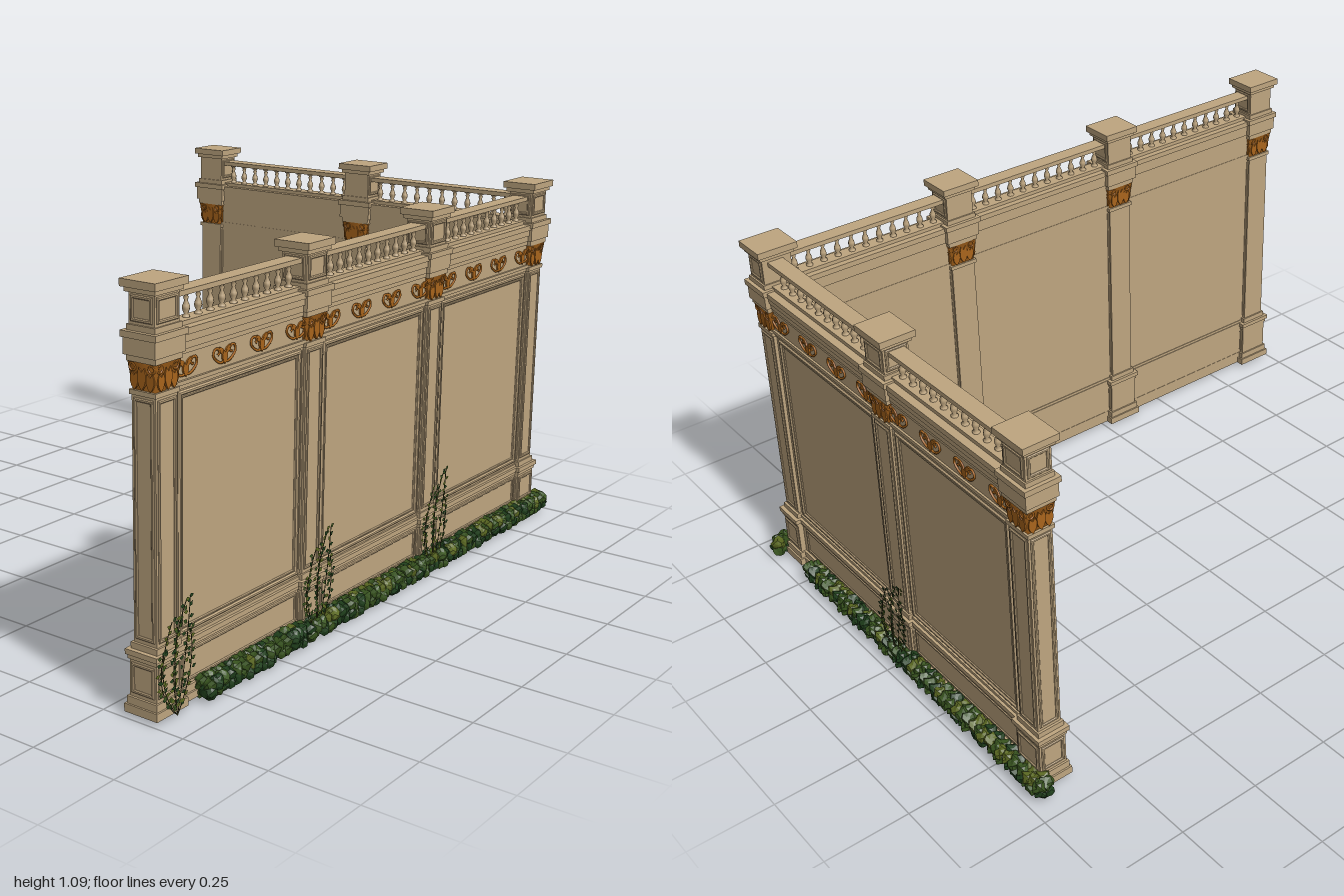
import * as THREE from 'three';
import { mergeGeometries } from 'three/addons/utils/BufferGeometryUtils.js';

const mat = (name, color, extra = {}) => {
  const m = new THREE.MeshStandardMaterial({ color, ...extra });
  m.name = name;
  return m;
};
const stone = mat('sandstone', 0xbfa680);
const bronze = mat('amber ornament', 0xa9651c);
const leafMats = [
  mat('dark leaf', 0x20401c, { flatShading: true, side: THREE.DoubleSide }),
  mat('mid leaf', 0x39551f, { flatShading: true, side: THREE.DoubleSide }),
  mat('olive leaf', 0x5c6a22, { flatShading: true, side: THREE.DoubleSide }),
];
const stemMat = mat('stem', 0x3b3a1c);

let seed = 7;
const rnd = () => (seed = (seed * 16807) % 2147483647) / 2147483647;

function add(parent, name, geo, material, x = 0, y = 0, z = 0) {
  const m = new THREE.Mesh(geo, material);
  m.name = name;
  m.position.set(x, y, z);
  parent.add(m);
  return m;
}

// Box given by its extents in y and z, centred on x
const slab = (p, name, x, w, y0, y1, z0, z1, m = stone) =>
  add(p, name, new THREE.BoxGeometry(w, y1 - y0, z1 - z0), m, x, (y0 + y1) / 2, (z0 + z1) / 2);

// Bevelled rectangular moulding with an open centre, facing +z
function frameGeo(w, h, t, d) {
  const s = new THREE.Shape().moveTo(-w / 2, -h / 2).lineTo(w / 2, -h / 2).lineTo(w / 2, h / 2).lineTo(-w / 2, h / 2).closePath();
  const a = w / 2 - t, b = h / 2 - t;
  s.holes.push(new THREE.Path().moveTo(-a, -b).lineTo(-a, b).lineTo(a, b).lineTo(a, -b).closePath());
  const e = Math.min(t * 0.3, d * 0.6);
  return new THREE.ExtrudeGeometry(s, { depth: d - e, bevelEnabled: true, bevelSize: e, bevelThickness: e, bevelOffset: -e, bevelSegments: 1 });
}

// Pointed acanthus leaf, tip down
function leafGeo(w, h, d) {
  const s = new THREE.Shape().moveTo(0, -h / 2);
  s.quadraticCurveTo(w * 0.75, -h * 0.1, w * 0.3, h / 2);
  s.lineTo(0, h * 0.3).lineTo(-w * 0.3, h / 2);
  s.quadraticCurveTo(-w * 0.75, -h * 0.1, 0, -h / 2);
  return new THREE.ExtrudeGeometry(s, { depth: d, bevelEnabled: false, curveSegments: 4 });
}

// Scroll tube: stalk from the centre, curling into a spiral
function scrollGeo(side, size, r) {
  const pts = [[0, -0.35], [0.3, -0.42], [0.7, -0.25], [0.98, 0.08], [0.85, 0.4], [0.55, 0.38], [0.45, 0.12], [0.65, 0.05]]
    .map(([x, y]) => new THREE.Vector3(side * x * size, y * size, 0));
  return new THREE.TubeGeometry(new THREE.CatmullRomCurve3(pts), 18, r, 5);
}
const scrollParts = [1, -1].flatMap((s) => [
  scrollGeo(s, 0.045, 0.0035),
  leafGeo(0.014, 0.026, 0.004).rotateZ(s * 2.3).translate(s * 0.014, 0.012, -0.002).toNonIndexed?.() ?? null,
]);
const friezeGeo = mergeGeometries([...scrollParts, leafGeo(0.022, 0.036, 0.005).translate(0, -0.006, -0.002)]
  .map((g) => (g.index ? g.toNonIndexed() : g)));

const balusterGeo = new THREE.LatheGeometry(
  [[0.010, 0], [0.010, 0.006], [0.005, 0.010], [0.010, 0.022], [0.009, 0.030], [0.004, 0.042], [0.007, 0.050], [0.004, 0.054], [0.010, 0.058], [0.010, 0.064]]
    .map(([x, y]) => new THREE.Vector2(x, y)), 8);

// Pier: stacked slabs, framed faces and a carved capital
function pier(x) {
  const g = new THREE.Group();
  g.name = 'pier';
  g.position.x = x;
  const rows = [
    ['plinth', 0.008, 0.03, 0.122, 0.104], ['plinthStep', 0.03, 0.05, 0.112, 0.094],
    ['pedestal', 0.05, 0.148, 0.1, 0.084], ['pedestalMoulding', 0.148, 0.16, 0.108, 0.09],
    ['pedestalCap', 0.16, 0.174, 0.118, 0.1], ['shaftBase', 0.174, 0.19, 0.094, 0.082],
    ['shaft', 0.19, 0.815, 0.08, 0.072], ['neckRing', 0.812, 0.824, 0.09, 0.08],
    ['entablatureBase', 0.893, 0.908, 0.1, 0.088], ['entablature', 0.908, 0.95, 0.112, 0.097],
    ['entablatureCap', 0.95, 0.966, 0.122, 0.107], ['postBase', 0.966, 0.98, 0.1, 0.086],
    ['post', 0.98, 1.06, 0.09, 0.077], ['postNeck', 1.056, 1.068, 0.106, 0.092], ['postCap', 1.068, 1.087, 0.122, 0.107],
  ];
  for (const [n, y0, y1, w, d] of rows) slab(g, n, 0, w, y0, y1, -d / 2, d / 2);
  // Raised frames on the front and both ends
  for (const [y0, y1, w, d] of [[0.2, 0.805, 0.08, 0.072], [0.06, 0.14, 0.1, 0.084], [0.987, 1.05, 0.09, 0.077]]) {
    for (const a of [0, 1, -1]) {
      const width = (a ? d : w) - 0.012;
      const f = add(g, 'pierFrame', frameGeo(width, y1 - y0, 0.009, 0.004), stone,
        a * w / 2, (y0 + y1) / 2, a ? 0 : d / 2);
      f.rotation.y = a * Math.PI / 2;
    }
  }
  // Flared capital
  const core = new THREE.CylinderGeometry(0.0665, 0.054, 0.071, 4).rotateY(Math.PI / 4).scale(1, 1, 0.9);
  add(g, 'capital', core, bronze, 0, 0.8585, 0).material = bronze;
  for (let i = 0; i < 4; i++) {
    const face = new THREE.Group();
    face.name = 'capitalCarving';
    face.rotation.y = i * Math.PI / 2;
    const z = i % 2 ? 0.045 : 0.04;
    for (const s of [-1, 1]) {
      add(face, 'volute', new THREE.TorusGeometry(0.009, 0.003, 5, 12), bronze, s * 0.029, 0.88, z);
      add(face, 'capitalLeaf', leafGeo(0.026, 0.044, 0.005), bronze, s * 0.024, 0.847, z - 0.004);
    }
    add(face, 'capitalLeaf', leafGeo(0.028, 0.055, 0.006), bronze, 0, 0.854, z - 0.003);
    g.add(face);
  }
  return g;
}

// Wall bay between two pier centres
function bay(x0, x1) {
  const g = new THREE.Group();
  g.name = 'bay';
  const x = (x0 + x1) / 2, w = x1 - x0;
  const rows = [
    ['wallPanel', 0.01, 0.95, 0.026, 0.026], ['wallPlinth', 0.01, 0.03, 0.042, 0.029], ['wallPlinthStep', 0.03, 0.05, 0.037, 0.029],
    ['dado', 0.05, 0.15, 0.03, 0.028], ['dadoMoulding', 0.15, 0.16, 0.035, 0.029], ['dadoCap', 0.16, 0.174, 0.039, 0.03],
    ['dadoFillet', 0.174, 0.183, 0.031, 0.028], ['architrave', 0.812, 0.822, 0.031, 0.028], ['architraveCap', 0.822, 0.832, 0.035, 0.029],
    ['frieze', 0.832, 0.896, 0.029, 0.028], ['corniceBase', 0.896, 0.908, 0.033, 0.03], ['corniceStep', 0.908, 0.926, 0.037, 0.034],
    ['corniceStep', 0.926, 0.944, 0.041, 0.037], ['cornice', 0.944, 0.96, 0.045, 0.041],
    ['bottomRail', 0.96, 0.971, 0.022, 0.022], ['topRail', 1.032, 1.045, 0.024, 0.024],
  ];
  for (const [n, y0, y1, f, b] of rows) slab(g, n, x, w, y0, y1, -b, f);
  // Nested panel mouldings
  add(g, 'panelFrame', frameGeo(0.505, 0.617, 0.012, 0.007), stone, x, 0.4985, 0.025);
  add(g, 'panelFrame', frameGeo(0.481, 0.593, 0.008, 0.004), stone, x, 0.4985, 0.025);
  add(g, 'dadoFrame', frameGeo(0.49, 0.085, 0.009, 0.004), stone, x, 0.1, 0.029);
  for (let i = 0; i < 4; i++) add(g, 'friezeScroll', friezeGeo, bronze, x0 + w * (i + 0.5) / 4, 0.863, 0.031);
  for (let i = 0; i < 11; i++) add(g, 'baluster', balusterGeo, stone, x + (i - 5) * 0.0465, 0.969, 0);
  return g;
}

// Clipped hedge of faceted leafy clumps
function hedge(x0, x1) {
  const g = new THREE.Group();
  g.name = 'hedge';
  const sets = [[], [], []];
  const n = Math.round((x1 - x0) / 0.028);
  for (let i = 0; i <= n; i++) {
    for (let k = 0; k < 4; k++) {
      const geo = new THREE.IcosahedronGeometry(0.02, 1);
      const p = geo.attributes.position, ph = rnd() * 9;
      for (let j = 0; j < p.count; j++) {
        const s = 1 + 0.22 * Math.sin(p.getX(j) * 310 + p.getY(j) * 470 + p.getZ(j) * 230 + ph);
        p.setXYZ(j, p.getX(j) * s, p.getY(j) * s, p.getZ(j) * s);
      }
      const upper = k > 1;
      geo.translate(x0 + 0.022 + (x1 - x0 - 0.044) * i / n + (rnd() - 0.5) * 0.012,
        (upper ? 0.044 : 0.024) + (rnd() - 0.5) * 0.006, (k % 2 ? 0.066 : 0.045) + (rnd() - 0.5) * 0.006);
      sets[upper ? (rnd() < 0.5 ? 1 : rnd() < 0.55 ? 2 : 0) : (rnd() < 0.6 ? 0 : 1)].push(geo);
    }
  }
  sets.forEach((s, i) => add(g, 'hedgeLeaves', mergeGeometries(s), leafMats[i]));
  return g;
}

// Flat climbing plant: stems fanning up with small leaves
function vine(x) {
  const g = new THREE.Group();
  g.name = 'climber';
  g.position.set(x, 0, 0.066);
  const leaf = new THREE.ShapeGeometry(new THREE.Shape().moveTo(0, 0).lineTo(0.006, 0.007).lineTo(0, 0.017).lineTo(-0.006, 0.007).closePath());
  const sets = [[], [], []], stems = [];
  const paths = [[0.04, 0.18, 0.05, 0.305], [-0.04, 0.17, 0.035, 0.3], [-0.02, 0.15, 0.005, 0.26],
    [-0.1, 0.12, -0.02, 0.26], [-0.085, 0.08, -0.053, 0.19], [0.075, 0.12, 0.05, 0.22]];
  for (const [cx, cy, tx, ty] of paths) {
    const c = new THREE.QuadraticBezierCurve3(new THREE.Vector3(0, 0.01, 0), new THREE.Vector3(cx, cy, 0), new THREE.Vector3(tx, ty, 0));
    stems.push(new THREE.TubeGeometry(c, 10, 0.0013, 4));
    for (let i = 2; i <= 20; i++) {
      const p = c.getPoint(i / 20);
      sets[Math.floor(rnd() * 3)].push(leaf.clone().rotateZ((i % 2 ? 1 : -1) * (0.5 + rnd() * 1.3))
        .translate(p.x + (rnd() - 0.5) * 0.01, p.y, (rnd() - 0.5) * 0.004));
    }
  }
  add(g, 'climberStems', mergeGeometries(stems), stemMat);
  sets.forEach((s, i) => add(g, 'climberLeaves', mergeGeometries(s), leafMats[i]));
  return g;
}

// Run of bays along x with its outer face toward +z
function run(name, xs, firstPier, hedgeSpan, vines) {
  const g = new THREE.Group();
  g.name = name;
  xs.forEach((x, i) => {
    if (i >= firstPier) g.add(pier(x));
    if (i) g.add(bay(xs[i - 1], x));
  });
  g.add(hedge(...hedgeSpan));
  vines.forEach((x) => g.add(vine(x)));
  return g;
}

export function createModel() {
  const model = new THREE.Group();
  model.name = 'gardenWall';
  const front = run('frontWall', [-0.931, -0.324, 0.284, 0.892], 0, [-0.83, 0.99], [-0.931, -0.324, 0.284]);
  front.position.z = 0.613;
  const side = run('sideWall', [-0.61, -0.005, 0.601], 1, [-0.51, 0.705], [-0.005]);
  side.position.x = 0.896;
  side.rotation.y = Math.PI / 2;
  model.add(front, side);
  return model;
}
